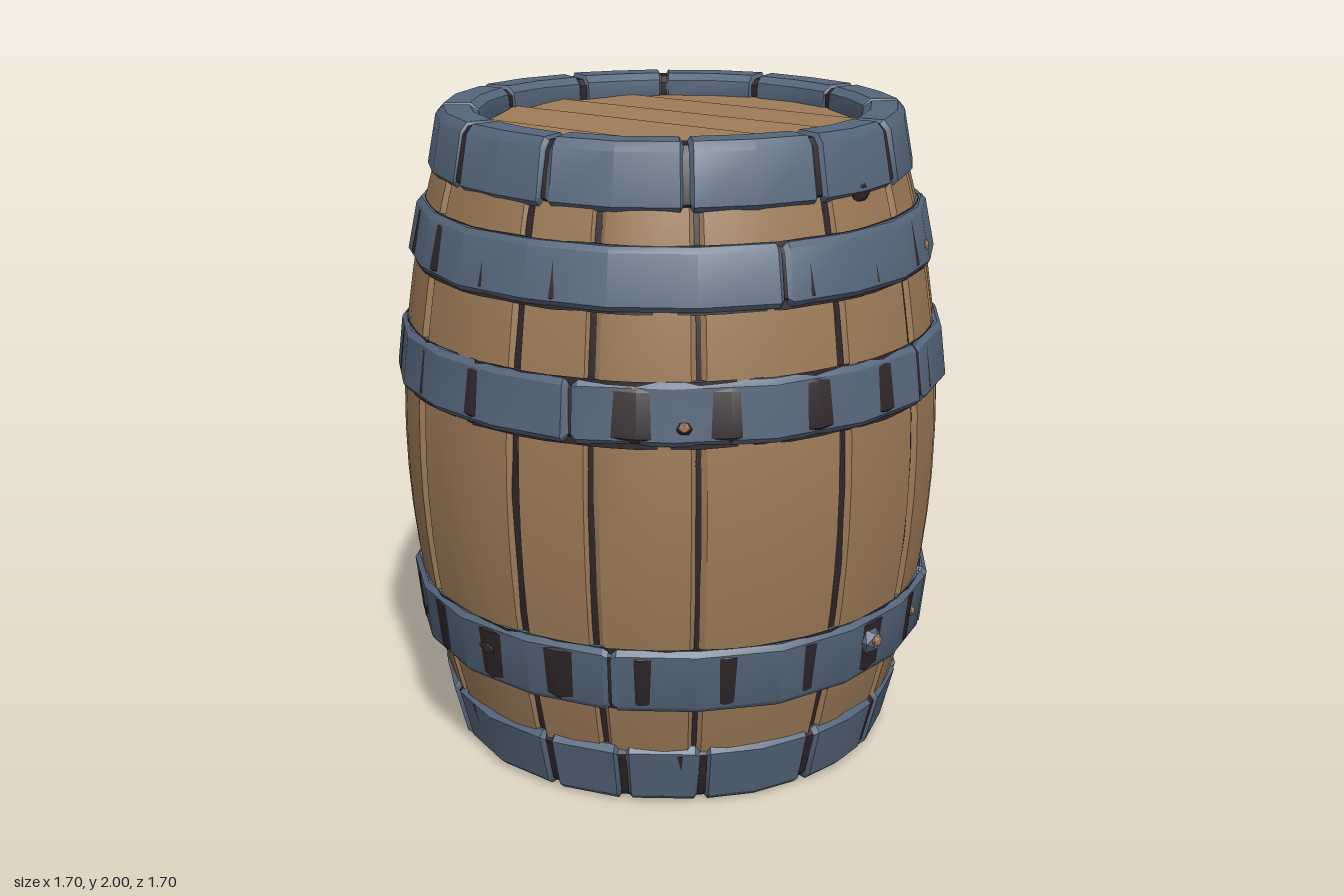
import * as THREE from 'three';
import { toCreasedNormals } from 'three/addons/utils/BufferGeometryUtils.js';

const wood = new THREE.MeshStandardMaterial({ color: 0x9e7b58 });
const iron = new THREE.MeshStandardMaterial({ color: 0x56677c });
const crevice = new THREE.MeshStandardMaterial({ color: 0x30272a, side: THREE.DoubleSide });
wood.name = 'wood';
iron.name = 'iron';
crevice.name = 'darkCrevice';

const DEG = Math.PI / 180;
let seed = 7;
const rand = () => (seed = (seed * 16807) % 2147483647) / 2147483647;
const jitter = (s) => (rand() - 0.5) * 2 * s;

// Bulging outline of the barrel
const barrelRadius = (y) => 0.838 - 0.17 * (y - 1) ** 2;

function addMesh(parent, name, geometry, material) {
  const mesh = new THREE.Mesh(geometry, material);
  mesh.name = name;
  parent.add(mesh);
  return mesh;
}

// Sweep a [radius, y] profile from angle a0 to a1; ends dip inward to round the edges.
// Angles run from the front (+z) towards +x.
function sector(profile, centre, a0, a1, { step = 18, sink = 0, inset = 0, wobble = 0, ragged = 0 }) {
  const n = Math.max(1, Math.round((a1 - a0) / (step * DEG)));
  const columns = [];
  for (let i = 0; i <= n; i++) columns.push([a0 + ((a1 - a0) * i) / n, inset, 0]);
  if (sink) {
    const edge = 0.022;
    columns[0][0] += edge;
    columns[n][0] -= edge;
    columns.unshift([a0, inset + sink, 1]);
    columns.push([a1, inset + sink, -1]);
  }
  const positions = [], index = [], rows = profile.length;
  columns.forEach(([angle, depth, end], i) => {
    const dr = jitter(wobble), dy = jitter(wobble * 0.5);
    profile.forEach(([r, y], j) => {
      const [cr, cy] = centre(y);
      const k = depth / Math.hypot(cr - r, cy - y);
      const radius = r + (cr - r) * k + dr;
      const a = angle + end * rand() * ragged;
      positions.push(Math.sin(a) * radius, y + (cy - y) * k + dy, Math.cos(a) * radius);
      if (i && j) {
        const p = (i - 1) * rows + j - 1, q = i * rows + j - 1;
        index.push(p, q, q + 1, p, q + 1, p + 1);
      }
    });
  });
  const g = new THREE.BufferGeometry();
  g.setAttribute('position', new THREE.Float32BufferAttribute(positions, 3));
  g.setIndex(index);
  return toCreasedNormals(g, 0.55);
}

// Ring of separate pieces split at the seam angles, over a dark core
function segmentedRing(name, material, profile, centre, seams, gap, options) {
  const group = new THREE.Group();
  group.name = name;
  seams.forEach((s, i) => {
    const next = i + 1 < seams.length ? seams[i + 1] : seams[0] + 360;
    addMesh(group, name + 'Piece', sector(profile, centre, s * DEG + gap / 2, next * DEG - gap / 2, options), material);
  });
  addMesh(group, name + 'Core', sector(profile, centre, 0, Math.PI * 2, { step: options.step, inset: 0.011 }), crevice);
  return group;
}

// Round head of slightly tilted planks
function plankHead(name, radius) {
  const group = new THREE.Group();
  group.name = name;
  const cuts = [-0.99, -0.78, -0.45, -0.04, 0.3, 0.66, 0.99];
  for (let i = 0; i + 1 < cuts.length; i++) {
    const lo = Math.asin(cuts[i] + 0.004), hi = Math.asin(cuts[i + 1] - 0.004), mid = (cuts[i] + cuts[i + 1]) * radius / 2;
    const pts = [];
    for (const side of [1, -1]) {
      for (let k = 0; k <= 5; k++) {
        const a = side > 0 ? lo + ((hi - lo) * k) / 5 : hi - ((hi - lo) * k) / 5;
        pts.push(new THREE.Vector2(side * Math.cos(a) * radius, Math.sin(a) * radius - mid));
      }
    }
    const g = new THREE.ExtrudeGeometry(new THREE.Shape(pts), { depth: 0.03, bevelEnabled: false });
    g.rotateX(-Math.PI / 2);
    const plank = addMesh(group, 'headPlank', g, wood);
    plank.position.set(0, -0.03, -mid);
    plank.rotation.set(0.06 + jitter(0.03), 0, jitter(0.006));
  }
  const backing = addMesh(group, 'headBacking', new THREE.CircleGeometry(radius, 32).rotateX(-Math.PI / 2), crevice);
  backing.position.y = -0.025;
  group.rotation.y = 0.13;
  return group;
}

// Small irregular lump on the barrel side
function lump(parent, name, material, degrees, y, r, w, h, d) {
  const m = addMesh(parent, name, new THREE.IcosahedronGeometry(1, 0), material);
  m.scale.set(w, h, d);
  m.rotation.y = degrees * DEG;
  m.position.set(Math.sin(degrees * DEG) * r, y, Math.cos(degrees * DEG) * r);
}

export function createModel() {
  seed = 7;
  const model = new THREE.Group();
  model.name = 'barrel';

  // Staves
  const staveProfile = [];
  for (let i = 0; i <= 14; i++) {
    const y = 0.1 + (i * 1.8) / 14;
    staveProfile.push([barrelRadius(y), y]);
  }
  const staveSeams = [-68, -42, -20, 10, 27, 48, 79, 102, 119, 138, 160, 185, 208, 230, 250, 270];
  model.add(segmentedRing('staves', wood, staveProfile, (y) => [0, y], staveSeams, 0.01,
    { step: 8, sink: 0.014, wobble: 0.003, ragged: 0.009 }));

  // Three hoops: bottom y, top y, bottom radius, top radius, seams
  const hoops = [
    ['lowerHoop', 0.35, 0.55, 0.81, 0.828, [-100, 30, 119, 210]],
    ['middleHoop', 1.18, 1.36, 0.858, 0.84, [-78, 23, 102, 190]],
    ['upperHoop', 1.55, 1.725, 0.808, 0.778, [-60, 66, 132, 228]],
  ];
  for (const [name, y0, y1, r0, r1, seams] of hoops) {
    const profile = [
      [r0 - 0.06, y0], [r0 - 0.012, y0], [r0, y0 + 0.016],
      [r1, y1 - 0.016], [r1 - 0.014, y1], [r1 - 0.06, y1],
    ];
    const centre = () => [(r0 + r1) / 2 - 0.05, (y0 + y1) / 2];
    model.add(segmentedRing(name, iron, profile, centre, seams, 0.006,
      { step: 18, sink: 0.013, wobble: 0.004, ragged: 0.006 }));
    // Dark joint where the hoop meets the staves
    const joint = [y0 - 0.007, y0 + 0.03, y1 - 0.03, y1 + 0.003].map((y) => [barrelRadius(y) + 0.003, y]);
    addMesh(model, name + 'Joint', sector(joint, (y) => [0, y], 0, Math.PI * 2, { step: 6, wobble: 0.004 }), crevice);
  }

  // Top and bottom rims made of blocks
  const topRim = [
    [0.66, 1.81], [0.722, 1.81], [0.74, 1.828], [0.712, 1.975], [0.69, 2],
    [0.61, 2], [0.585, 1.98], [0.58, 1.93], [0.6, 1.88],
  ];
  const bottomRim = [
    [0.6, 0.1], [0.585, 0.03], [0.61, 0], [0.68, 0], [0.702, 0.02],
    [0.742, 0.18], [0.725, 0.2], [0.66, 0.2],
  ];
  const rimOptions = { step: 15, sink: 0.016, wobble: 0.004, ragged: 0.01 };
  model.add(segmentedRing('topRim', iron, topRim, () => [0.65, 1.9],
    [-44, -14, 14, 46, 77, 103, 136, 165, 195, 225, 252, 283], 0.008, rimOptions));
  model.add(segmentedRing('bottomRim', iron, bottomRim, () => [0.65, 0.1],
    [-43, -24, 12, 31, 50, 78, 102, 123, 146, 168, 190, 215, 240, 262, 290], 0.018, rimOptions));

  // Heads set into the rims, with dark inner walls
  const topHead = plankHead('topHead', 0.6);
  topHead.position.y = 1.93;
  const bottomHead = plankHead('bottomHead', 0.6);
  bottomHead.position.y = 0.12;
  bottomHead.rotation.x = Math.PI;
  model.add(topHead, bottomHead);
  for (const y of [0.09, 1.91]) {
    const wall = addMesh(model, 'innerWall', new THREE.CylinderGeometry(0.597, 0.597, 0.12, 32, 1, true), crevice);
    wall.position.y = y;
  }

  // Rivets on the lower hoop
  for (const a of [90, 180, 270]) lump(model, 'rivet', iron, a, 0.47, 0.812, 0.045, 0.045, 0.032);

  // Dark chips and bare worn spots
  const chips = [[0, 0.465, 0.808, 0.036], [-27, 0.45, 0.81, 0.024], [45, 1.235, 0.845, 0.026], [90, 1.825, 0.724, 0.05], [140, 1.66, 0.785, 0.02]];
  for (const [a, y, r, s] of chips) lump(model, 'chip', crevice, a, y, r, s, s * 0.75, 0.014);
  const spots = [[45, 1.24, 0.85, 0.018], [90, 0.475, 0.838, 0.022], [110, 0.46, 0.812, 0.018], [115, 1.61, 0.793, 0.022],
    [135, 1.25, 0.845, 0.016], [200, 0.48, 0.816, 0.018], [225, 0.45, 0.812, 0.022], [250, 1.25, 0.845, 0.02], [160, 1.62, 0.793, 0.018]];
  for (const [a, y, r, s] of spots) lump(model, 'wornSpot', wood, a, y, r, s, s, 0.012);

  return model;
}
